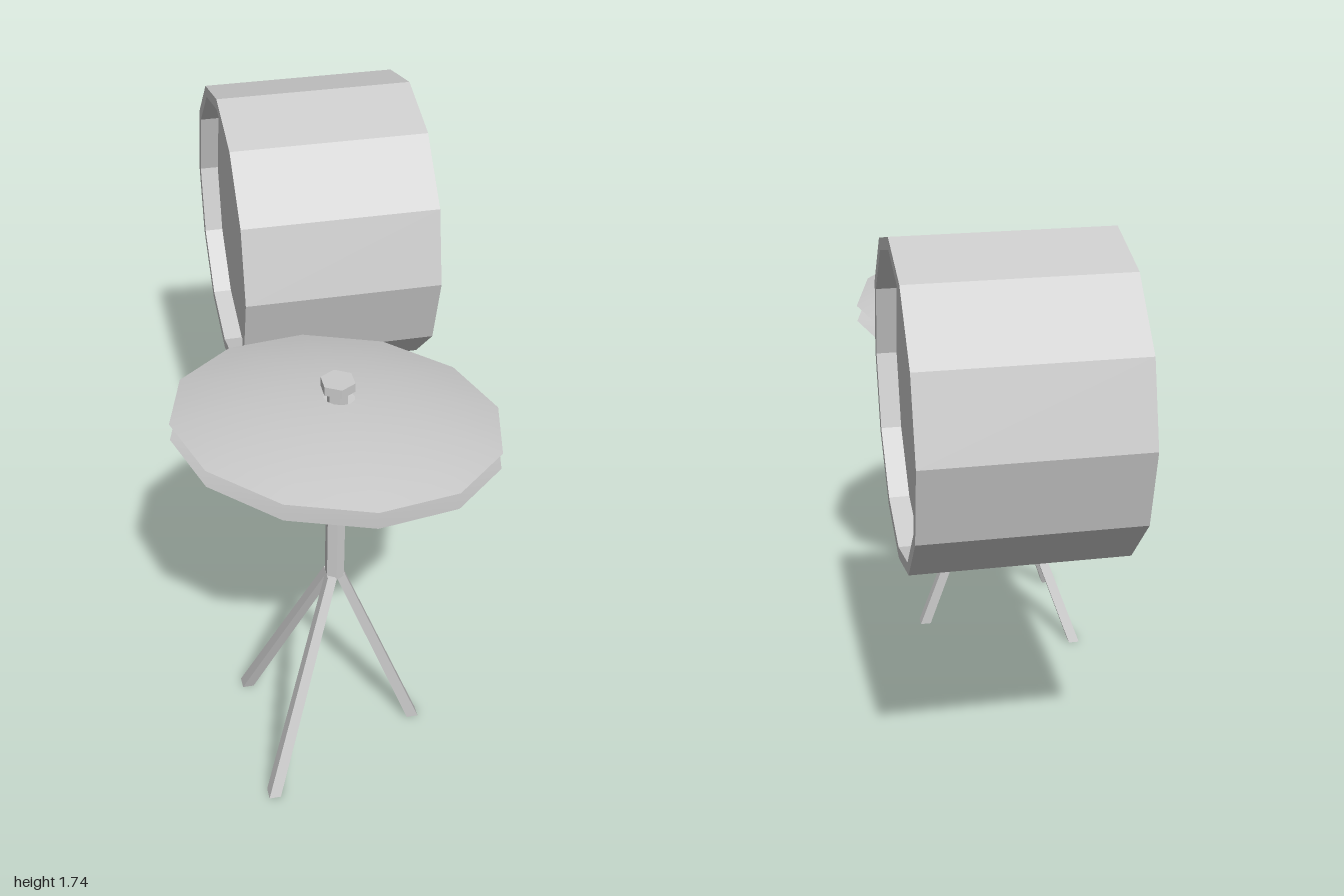
import * as THREE from 'three';

const STAND_Z = 0.528;
const flat = new THREE.MeshStandardMaterial({ color: 0xcccccc, flatShading: true });
const thin = new THREE.MeshStandardMaterial({ color: 0xcccccc, side: THREE.DoubleSide });

function add(parent, name, geometry, material, x = 0, y = 0, z = 0) {
  const mesh = new THREE.Mesh(geometry, material);
  mesh.name = name;
  mesh.position.set(x, y, z);
  parent.add(mesh);
  return mesh;
}

// Shallow twelve-sided dome with a centre hole; dir is 1 for up, -1 for down
function cymbalGeometry(dir) {
  const R = 0.47, hole = 0.045, H = 0.062, steps = 8;
  const pts = [];
  for (let i = 0; i <= steps; i++) {
    const r = THREE.MathUtils.lerp(R, hole, i / steps);
    pts.push(new THREE.Vector2(r, dir * H * (1 - (r / R) ** 2)));
  }
  if (dir < 0) pts.reverse();
  return new THREE.LatheGeometry(pts, 12);
}

// Square bar sheared from the pole out to its foot, with level ends
function legGeometry(footX, footZ) {
  const height = 0.68;
  const g = new THREE.BoxGeometry(0.036, height, 0.04);
  g.translate(0, height / 2, 0);
  const p = g.attributes.position;
  for (let i = 0; i < p.count; i++) {
    const k = THREE.MathUtils.lerp(1, 0.05, p.getY(i) / height);
    p.setX(i, p.getX(i) * (k > 0.5 ? 1 : 0.8) + footX * k);
    p.setZ(i, p.getZ(i) * (k > 0.5 ? 1 : 0.8) + footZ * k);
  }
  g.computeVertexNormals();
  return g;
}

export function createModel() {
  const model = new THREE.Group();
  model.name = 'drumAndCymbals';

  // Drum lying on its side, with a recessed head at each end
  const ro = 0.469, ri = 0.434, h = 0.31, d = 0.25;
  const profile = [[0, -d], [ri, -d], [ri, -h], [ro, -h], [ro, h], [ri, h], [ri, d], [0, d]]
    .map(([r, y]) => new THREE.Vector2(r, y));
  const drum = add(model, 'drum', new THREE.LatheGeometry(profile, 12), flat, 0.157, 1.267, -0.531);
  drum.rotation.z = -Math.PI / 2;

  // Cymbal stand
  const stand = new THREE.Group();
  stand.name = 'cymbalStand';
  stand.position.z = STAND_Z;
  model.add(stand);
  add(stand, 'pole', new THREE.CylinderGeometry(0.03, 0.03, 0.69, 6), flat, 0, 1.015, 0);
  add(stand, 'topNut', new THREE.CylinderGeometry(0.05, 0.05, 0.028, 6), flat, 0, 1.373, 0);
  for (const [x, z] of [[0.267, 0], [-0.237, 0.238], [-0.237, -0.238]]) {
    add(stand, 'leg', legGeometry(x, z), flat);
  }

  // Pair of facing cymbals, tilted together
  const tilt = new THREE.Vector3(0.087, 1, -0.085).normalize();
  const up = new THREE.Vector3(0, 1, 0);
  for (const [name, dir, y] of [['upperCymbal', 1, 1.265], ['lowerCymbal', -1, 1.212]]) {
    const cymbal = add(stand, name, cymbalGeometry(dir), thin, 0, y, 0);
    cymbal.quaternion.setFromUnitVectors(up, tilt);
  }

  return model;
}
